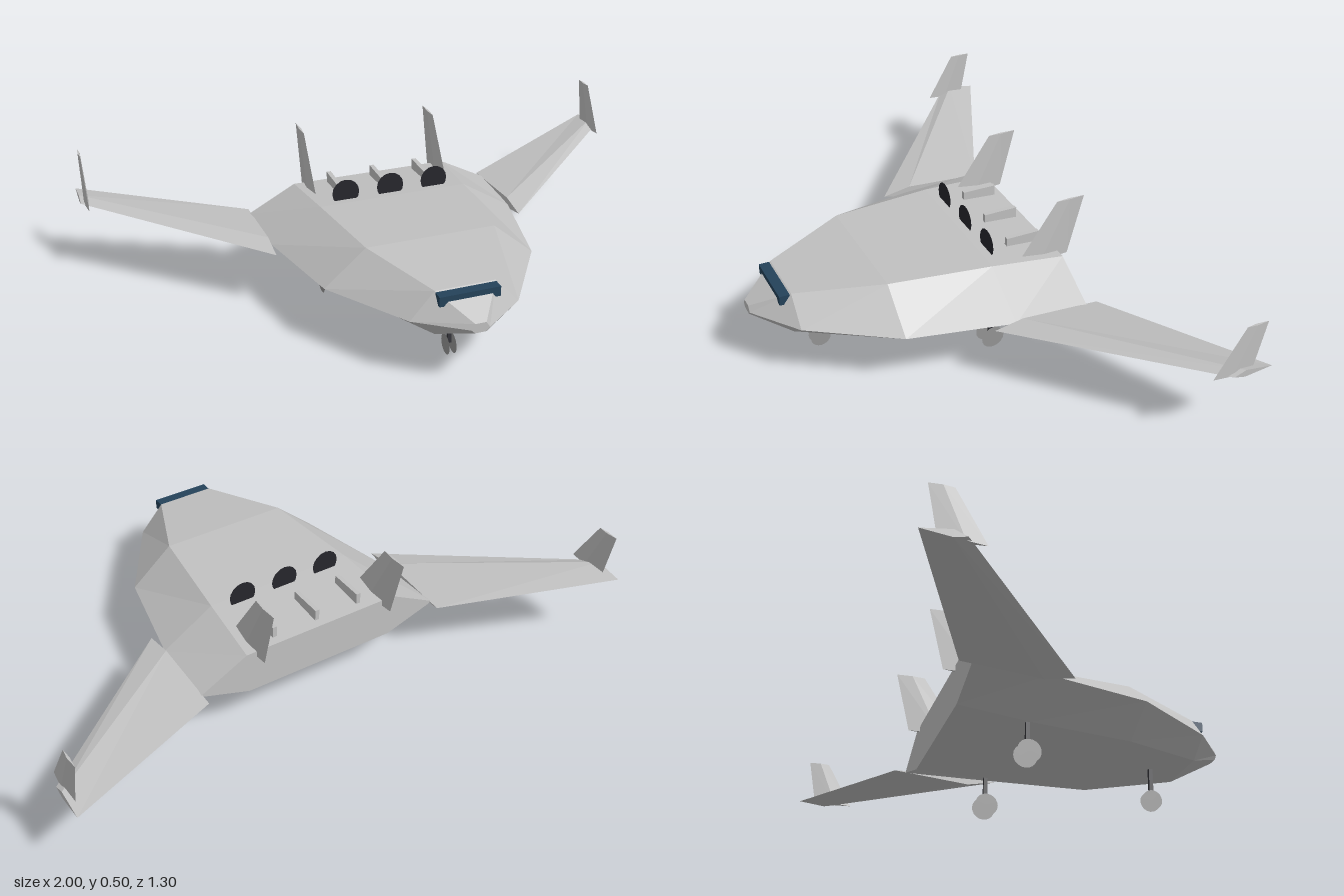
import * as THREE from 'three';

const mat = (name, color, extra = {}) => {
  const m = new THREE.MeshStandardMaterial({ color, flatShading: true, ...extra });
  m.name = name;
  return m;
};

// Closed faceted solid through rings of points; rings run counter-clockwise seen from the first end
function loft(rings) {
  const pos = [];
  const tri = (...pts) => pts.forEach((p) => pos.push(...p));
  const n = rings[0].length;
  for (let i = 0; i < rings.length - 1; i++) {
    for (let j = 0; j < n; j++) {
      const k = (j + 1) % n;
      const [a, b, c, d] = [rings[i][j], rings[i][k], rings[i + 1][k], rings[i + 1][j]];
      tri(a, d, c);
      tri(a, c, b);
    }
  }
  const first = rings[0], last = rings[rings.length - 1];
  for (let j = 1; j < n - 1; j++) {
    tri(first[0], first[j], first[j + 1]);
    tri(last[0], last[j + 1], last[j]);
  }
  const g = new THREE.BufferGeometry();
  g.setAttribute('position', new THREE.Float32BufferAttribute(pos, 3));
  g.computeVertexNormals();
  return g;
}

// Mirror rings across x when side is -1, keeping faces outward
const mirror = (rings, side) =>
  side > 0 ? rings : rings.map((r) => r.map(([x, y, z]) => [-x, y, z]).reverse());

// Upright fin with a diamond section: [y, leading z, trailing z, half thickness] for top and base
const finRings = (x, top, base) => [top, base].map(([y, zl, zt, t]) => {
  const zm = zl + (zt - zl) * 0.45;
  return [[x + t, y, zm], [x, y, zt], [x - t, y, zm], [x, y, zl]];
});

export function createModel() {
  const group = new THREE.Group();
  const hullGrey = mat('hull grey', 0xc0c0c0);
  const wheelGrey = mat('wheel grey', 0x949494, { side: THREE.DoubleSide });
  const strutDark = mat('strut dark', 0x34343a);
  const engineDark = mat('engine dark', 0x26262c, { side: THREE.DoubleSide });
  const glassBlue = mat('window blue', 0x24425a);

  const add = (name, geometry, material, x = 0, y = 0, z = 0) => {
    const m = new THREE.Mesh(geometry, material);
    m.name = name;
    m.position.set(x, y, z);
    group.add(m);
    return m;
  };

  // Hull: [z, side half width, side y, top half width, top y, bottom half width, bottom y]
  const hull = [
    [0.65, 0.03, 0.225, 0.018, 0.245, 0.018, 0.213],
    [0.53, 0.18, 0.22, 0.10, 0.31, 0.10, 0.16],
    [0.25, 0.36, 0.22, 0.22, 0.34, 0.22, 0.14],
    [-0.10, 0.435, 0.22, 0.26, 0.33, 0.25, 0.145],
    [-0.35, 0.45, 0.22, 0.28, 0.31, 0.27, 0.16],
  ].map(([z, s, sy, t, ty, b, by]) =>
    [[s, sy, z], [t, ty, z], [-t, ty, z], [-s, sy, z], [-b, by, z], [b, by, z]]);
  add('hull', loft(hull), hullGrey);

  // Cockpit window strip
  add('cockpitWindow', new THREE.BoxGeometry(0.2, 0.033, 0.035), glassBlue, 0, 0.291, 0.552);

  // Wings, tip fins and tail fins
  const wing = [
    [[1, 0.28, -0.65], [1, 0.295, -0.555], [1, 0.28, -0.515], [1, 0.27, -0.555]],
    [[0.44, 0.22, -0.39], [0.44, 0.238, -0.12], [0.44, 0.22, 0.02], [0.44, 0.2, -0.12]],
  ];
  wing[1][2][2] = -0.02;
  const tipFin = finRings(0.98, [0.44, -0.55, -0.625, 0.004], [0.275, -0.455, -0.595, 0.008]);
  const tailFin = finRings(0.24, [0.5, -0.34, -0.44, 0.004], [0.29, -0.2, -0.39, 0.01]);
  for (const side of [1, -1]) {
    const label = side > 0 ? 'left' : 'right';
    add(label + 'Wing', loft(mirror(wing, side)), hullGrey);
    add(label + 'TipFin', loft(mirror(tipFin, side)), hullGrey);
    add(label + 'TailFin', loft(mirror(tailFin, side)), hullGrey);
  }

  // Engine discs with a low rib behind each
  for (const x of [-0.16, 0, 0.16]) {
    add('engineDisc', new THREE.CircleGeometry(0.048, 16), engineDark, x, 0.353, -0.13);
    add('engineRib', new THREE.BoxGeometry(0.015, 0.045, 0.12), hullGrey, x, 0.328, -0.262);
  }

  // Landing gear: a strut with paired wheel discs
  const gear = (name, x, z, r, gap) => {
    add(name + 'Strut', new THREE.BoxGeometry(0.012, 0.12, 0.014), strutDark, x, 0.1, z);
    for (const s of [-1, 1]) {
      add(name + 'Wheel', new THREE.CircleGeometry(r, 20), wheelGrey, x + s * gap, r, z)
        .rotation.y = Math.PI / 2;
    }
  };
  gear('noseGear', 0, 0.41, 0.035, 0.012);
  gear('leftGear', 0.24, -0.11, 0.04, 0.022);
  gear('rightGear', -0.24, -0.11, 0.04, 0.022);

  return group;
}
